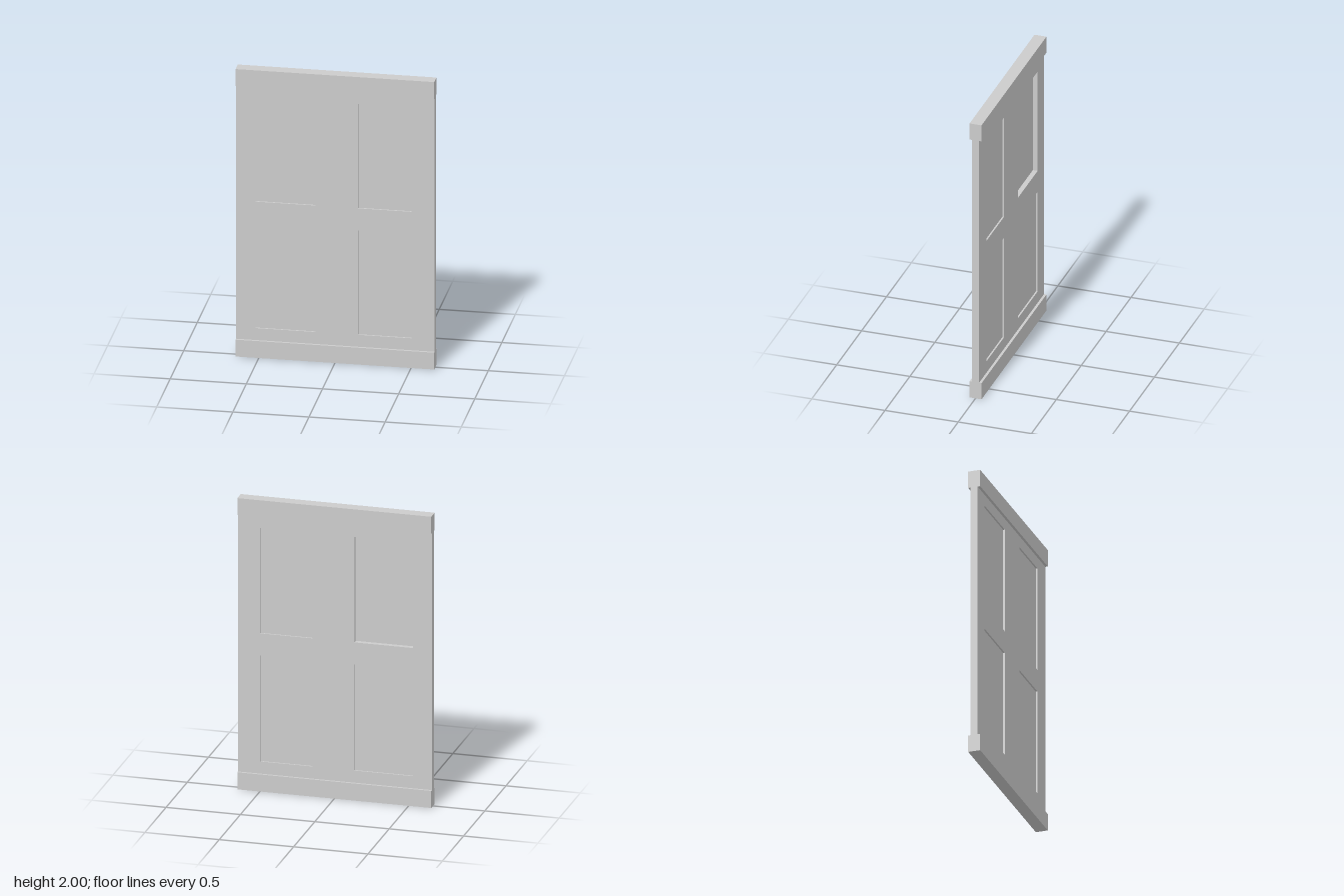
import * as THREE from 'three';

const WIDTH = 1.304, HEIGHT = 2, RAIL = 0.117;
const SLAB = 0.048, RAIL_DEPTH = 0.082;
const COLUMNS = [{ name: 'Right', x0: -0.525, x1: -0.13 }, { name: 'Left', x0: 0.15, x1: 0.5 }];
const ROWS = [{ name: 'lower', y0: 0.2, y1: 0.927 }, { name: 'upper', y0: 1.08, y1: 1.805 }];

const material = new THREE.MeshStandardMaterial({ color: 0xcccccc, flatShading: true });

function rectangle(path, x0, y0, x1, y1) {
  path.moveTo(x0, y0);
  path.lineTo(x1, y0);
  path.lineTo(x1, y1);
  path.lineTo(x0, y1);
  path.closePath();
  return path;
}

export function createModel() {
  const door = new THREE.Group();
  door.name = 'panelledDoor';

  const add = (name, geometry, x = 0, y = 0, z = 0) => {
    const mesh = new THREE.Mesh(geometry, material);
    mesh.name = name;
    mesh.position.set(x, y, z);
    door.add(mesh);
  };

  // Door frame with four openings
  const outline = rectangle(new THREE.Shape(), -WIDTH / 2, RAIL, WIDTH / 2, HEIGHT - RAIL);

  for (const row of ROWS) {
    for (const col of COLUMNS) {
      outline.holes.push(rectangle(new THREE.Path(), col.x0, row.y0, col.x1, row.y1));

      // Recessed panel; the upper right one is thin, leaving a deep recess at the back
      const front = 0.013;
      const back = row.name === 'upper' && col.name === 'Right' ? 0.009 : -0.013;
      add(`${row.name}${col.name}Panel`,
        new THREE.BoxGeometry(col.x1 - col.x0, row.y1 - row.y0, front - back),
        (col.x0 + col.x1) / 2, (row.y0 + row.y1) / 2, (front + back) / 2);
    }
  }
  add('frame', new THREE.ExtrudeGeometry(outline, { depth: SLAB, bevelEnabled: false }), 0, 0, -SLAB / 2);

  // Thicker rails along the bottom and top
  for (const [name, y] of [['bottomRail', RAIL / 2], ['topRail', HEIGHT - RAIL / 2]]) {
    add(name, new THREE.BoxGeometry(WIDTH, RAIL, RAIL_DEPTH), 0, y);
  }

  return door;
}
